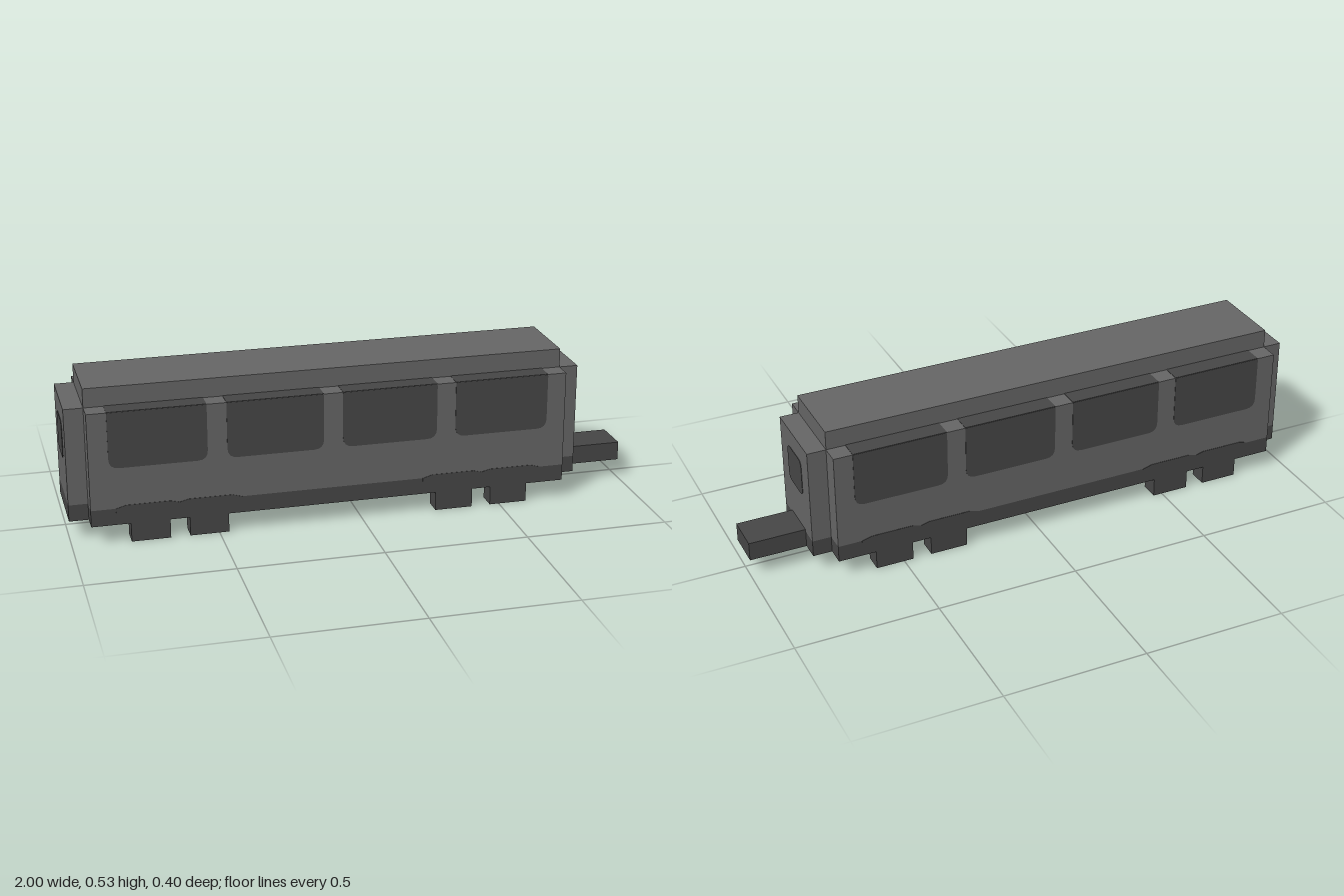
import * as THREE from 'three';

const U = 1 / 15; // block unit
const BAND = 0.125; // top of the dark skirt
const EAVE = 7 * U;

export function createModel() {
  const grey = new THREE.MeshStandardMaterial({ color: 0x666666 });
  grey.name = 'body grey';
  const dark = new THREE.MeshStandardMaterial({ color: 0x464646 });
  dark.name = 'dark grey';
  const model = new THREE.Group();
  model.name = 'railCarriage';

  const add = (name, geometry, material) => {
    const mesh = new THREE.Mesh(geometry, material);
    mesh.name = name;
    model.add(mesh);
    return mesh;
  };
  const box = (name, material, x0, x1, y0, y1, z0, z1) => {
    const g = new THREE.BoxGeometry(x1 - x0, y1 - y0, z1 - z0);
    g.translate((x0 + x1) / 2, (y0 + y1) / 2, (z0 + z1) / 2);
    return add(name, g, material);
  };
  // thin plate from a shape, its middle at z
  const plate = (shape, z) => {
    const g = new THREE.ExtrudeGeometry(shape, { depth: 0.003, bevelEnabled: false, curveSegments: 4 });
    return g.translate(0, 0, z - 0.0015);
  };
  // rectangle with separate bottom and top corner radii
  const panel = (x0, x1, y0, y1, rb, rt) => {
    const s = new THREE.Shape();
    s.moveTo(x0 + rb, y0);
    s.lineTo(x1 - rb, y0);
    s.quadraticCurveTo(x1, y0, x1, y0 + rb);
    s.lineTo(x1, y1 - rt);
    s.quadraticCurveTo(x1, y1, x1 - rt, y1);
    s.lineTo(x0 + rt, y1);
    s.quadraticCurveTo(x0, y1, x0, y1 - rt);
    s.lineTo(x0, y0 + rb);
    s.quadraticCurveTo(x0, y0, x0 + rb, y0);
    return s;
  };

  // wide side body, narrower full-length core and raised roof
  box('sideSkirt', dark, -14 * U, 11 * U, U, BAND, -3 * U, 3 * U);
  box('sideBody', grey, -14 * U, 11 * U, BAND, EAVE, -3 * U, 3 * U);
  for (const [end, x0, x1] of [['rear', -1, -14 * U], ['front', 11 * U, 12 * U]]) {
    box(end + 'EndSkirt', dark, x0, x1, U, BAND, -2 * U, 2 * U);
    box(end + 'EndBody', grey, x0, x1, BAND, EAVE, -2 * U, 2 * U);
  }
  box('roof', grey, -14 * U, 11 * U, EAVE, 8 * U, -2 * U, 2 * U);
  box('coupler', dark, 12 * U, 1, U, 2 * U, -U, U);

  for (const side of [-1, 1]) {
    const label = side > 0 ? 'front' : 'back';
    const z = side * 3 * U;
    // four large windows, wrapping over the eave
    for (let i = 0; i < 4; i++) {
      const x0 = (-13 + 6 * i) * U;
      const x1 = x0 + 5 * U;
      add(label + 'Window', plate(panel(x0, x1, 4 * U + 0.003, EAVE, 0.035, 0.006), z), dark);
      box(label + 'WindowTop', dark, x0, x1, EAVE - 0.001, EAVE + 0.0015,
        Math.min(side * 2 * U, z), Math.max(side * 2 * U, z));
    }
    // bogies: two wheel blocks each, with a wavy arch above
    for (const bx of [-9.5 * U, 6.5 * U]) {
      const arch = new THREE.Shape();
      arch.moveTo(bx - 0.215, BAND - 0.02);
      arch.lineTo(bx + 0.215, BAND - 0.02);
      for (const [dx, y] of [[0.215, BAND], [0.18, 0.135], [0.03, 0.135], [0, 0.127],
        [-0.03, 0.135], [-0.18, 0.135], [-0.215, BAND]]) arch.lineTo(bx + dx, y);
      arch.closePath();
      add(label + 'WheelArch', plate(arch, z), dark);
      for (const d of [-1.5 * U, 1.5 * U]) {
        box(label + 'WheelBlock', dark, bx + d - U, bx + d + U, 0, U,
          Math.min(side * 2 * U, z), Math.max(side * 2 * U, z));
      }
    }
  }

  // rounded window in each end
  for (const x of [-1 + 0.0015, 12 * U]) {
    const g = plate(panel(-U, U, 4 * U, 6 * U, 0.025, 0.025), 0);
    add('endWindow', g.rotateY(Math.PI / 2).translate(x < 0 ? x - 0.002 : x, 0, 0), dark);
  }
  return model;
}
